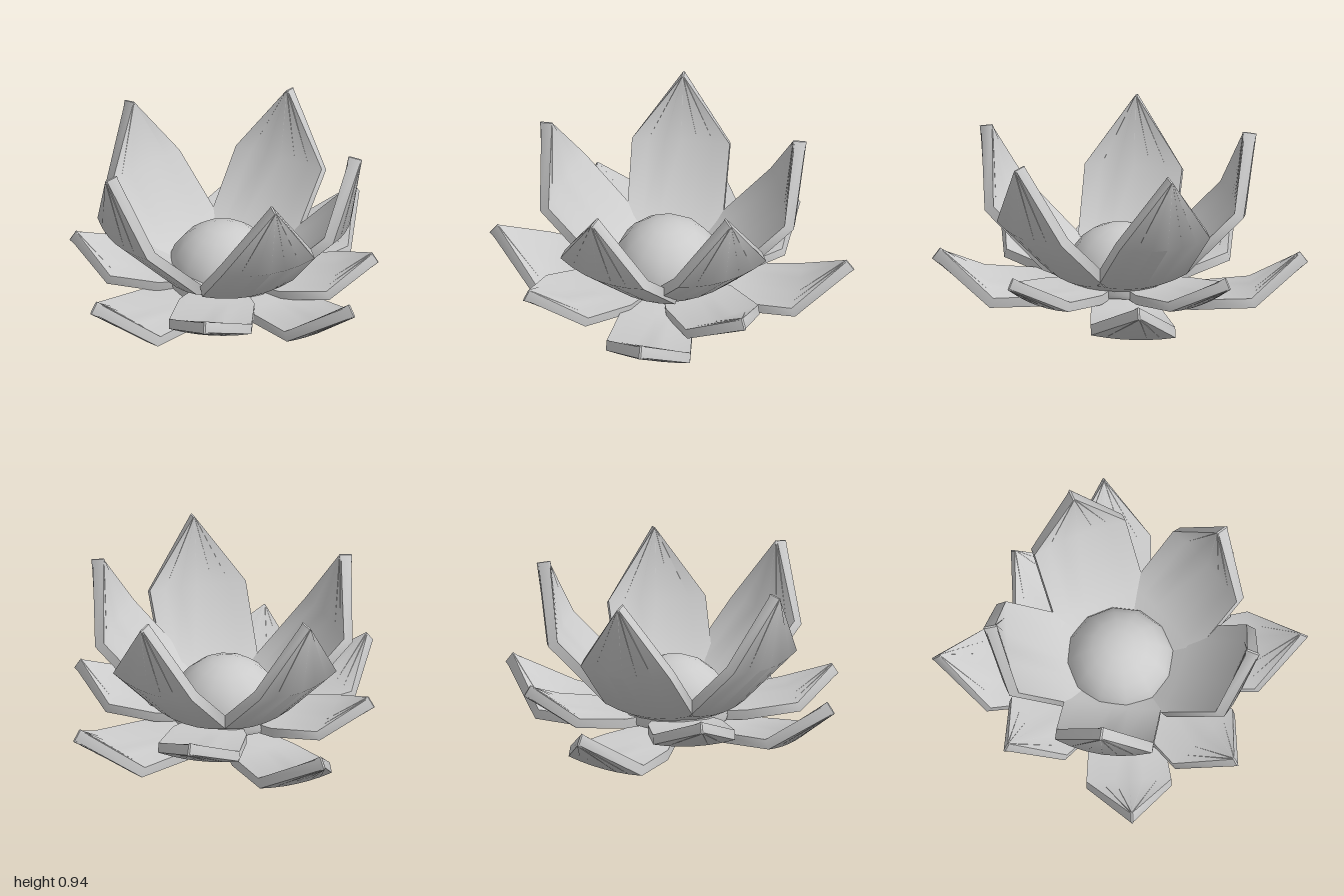
import * as THREE from 'three';
import { toCreasedNormals } from 'three/addons/utils/BufferGeometryUtils.js';

const material = new THREE.MeshStandardMaterial({ color: 0xcccccc });
const COLUMNS = 7;

// Thick petal pointing along +z. Each row is [reach, height, half width].
function petalGeometry(rows, { thickness, cup, roll = 0, stretch = 1, lift = 0 }) {
  const positions = [];
  const index = [];
  const ring = COLUMNS * 2;
  rows.forEach(([z, y, w], i) => {
    const a = rows[Math.max(i - 1, 0)];
    const b = rows[Math.min(i + 1, rows.length - 1)];
    const length = Math.hypot(b[0] - a[0], b[1] - a[1]);
    const nz = -(b[1] - a[1]) / length;
    const ny = (b[0] - a[0]) / length;
    for (let k = 0; k < ring; k++) {
      const top = k < COLUMNS;
      const column = top ? k : ring - 1 - k;
      const t = (column / (COLUMNS - 1)) * 2 - 1;
      const half = (thickness / 2) * (1 - 0.25 * t * t);
      // Edges curl up in proportion to the local width
      const curl = cup * (w / 0.25) * (t * t - 0.4);
      const offset = curl + (top ? half : -half);
      positions.push(t * w, y + lift + ny * offset + roll * t * w, z * stretch + nz * offset);
    }
  });
  for (let i = 0; i < rows.length - 1; i++) {
    for (let k = 0; k < ring; k++) {
      const p = i * ring + k;
      const p1 = i * ring + (k + 1) % ring;
      index.push(p, p + ring, p1, p1, p + ring, p1 + ring);
    }
  }
  // End caps
  const last = (rows.length - 1) * ring;
  for (let k = 0; k < COLUMNS - 1; k++) {
    const c = ring - 1 - k;
    index.push(k, k + 1, c, k + 1, c - 1, c);
    index.push(last + k, last + c, last + k + 1, last + k + 1, last + c, last + c - 1);
  }
  const geometry = new THREE.BufferGeometry();
  geometry.setAttribute('position', new THREE.Float32BufferAttribute(positions, 3));
  geometry.setIndex(index);
  return toCreasedNormals(geometry, 0.85);
}

// Petal layers; angles run anticlockwise from +x, seen from above
const layers = [
  {
    name: 'innerPetal',
    rows: [[0.05, 0.1, 0.07], [0.32, 0.25, 0.255], [0.625, 0.55, 0.26], [0.7, 0.93, 0.005]],
    thickness: 0.075,
    cup: 0.035,
    petals: [
      { angle: 14.5 }, { angle: 90 }, { angle: 164 },
      { angle: 244, stretch: 1.05 }, { angle: 303 },
    ],
  },
  {
    name: 'middlePetal',
    rows: [[0.07, 0.13, 0.08], [0.32, 0.15, 0.2], [0.58, 0.18, 0.22], [0.8, 0.315, 0.005]],
    thickness: 0.07,
    cup: 0.015,
    petals: [
      { angle: 38 }, { angle: 124.4, stretch: 1.02 },
      { angle: 216.5, stretch: 1.09 }, { angle: 306 },
    ],
  },
  {
    name: 'outerPetal',
    rows: [[0.08, 0.09, 0.08], [0.38, 0.08, 0.19], [0.7, 0.095, 0.225], [0.97, 0.295, 0.005]],
    thickness: 0.075,
    cup: 0.01,
    roll: -0.07,
    petals: [
      { angle: -2 }, { angle: 83.5, lift: -0.035, stretch: 1.01 },
      { angle: 176, lift: 0.01, stretch: 0.97 }, { angle: 267.4, lift: 0.03 },
    ],
  },
];

export function createModel() {
  const group = new THREE.Group();
  group.name = 'waterLily';

  for (const { name, rows, petals, ...shape } of layers) {
    petals.forEach(({ angle, ...variation }, i) => {
      const petal = new THREE.Mesh(petalGeometry(rows, { ...shape, ...variation }), material);
      petal.name = `${name}${i + 1}`;
      petal.position.x = -0.015;
      petal.rotation.y = THREE.MathUtils.degToRad(angle + 90);
      group.add(petal);
    });
  }

  // Domed heart of the flower, closed underneath
  const profile = [new THREE.Vector2(0, 0.13), new THREE.Vector2(0.295, 0.13)];
  for (let i = 0; i <= 6; i++) {
    const a = (i / 6) * Math.PI / 2;
    profile.push(new THREE.Vector2(0.3 * Math.cos(a), 0.15 + 0.3 * Math.sin(a)));
  }
  const heart = new THREE.Mesh(toCreasedNormals(new THREE.LatheGeometry(profile, 12), 0.85), material);
  heart.name = 'heart';
  heart.position.set(-0.025, 0, -0.01);
  group.add(heart);

  return group;
}
